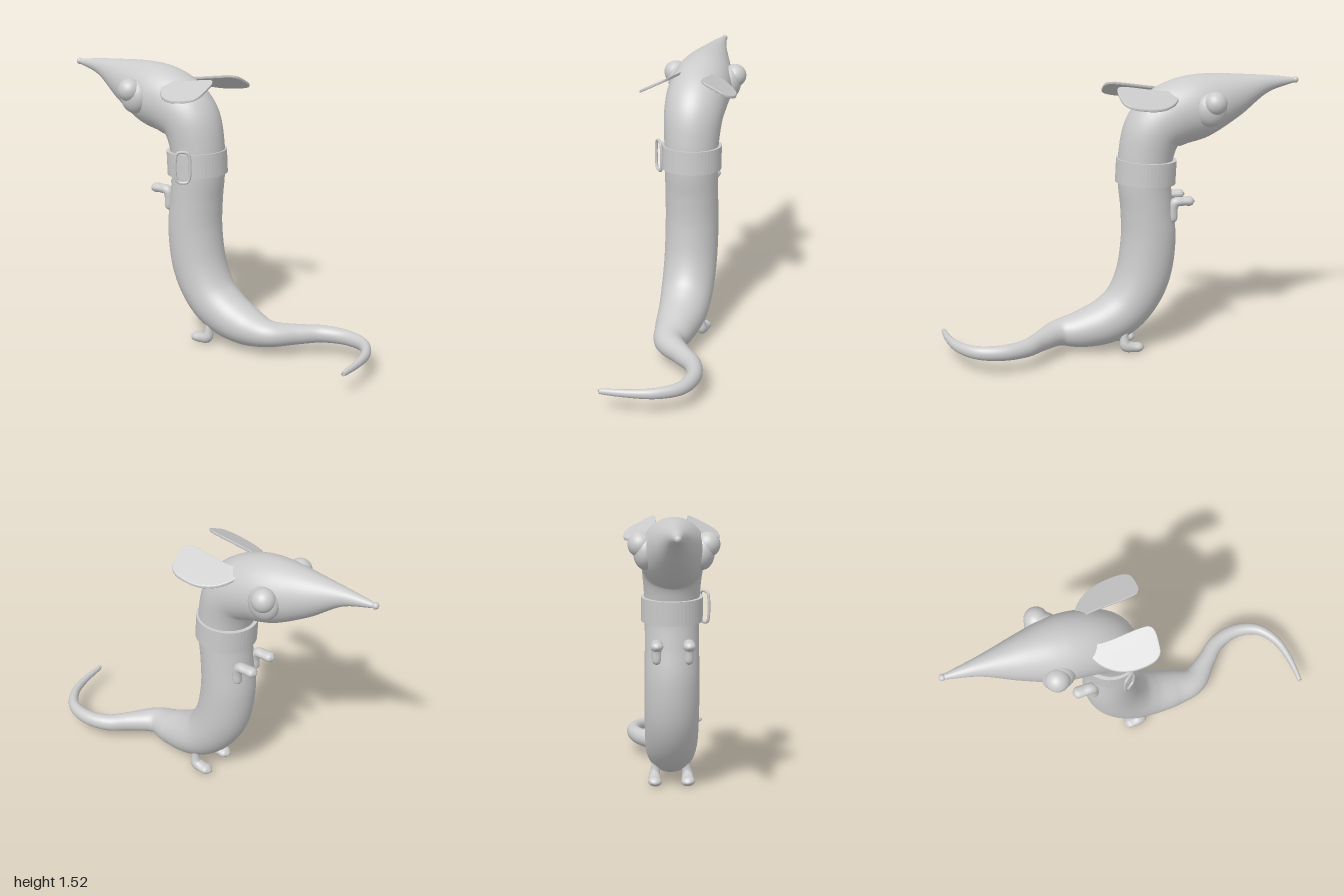
import * as THREE from 'three';

const material = new THREE.MeshStandardMaterial({ color: 0xcccccc });

function add(parent, name, geometry, position = [0, 0, 0]) {
  const mesh = new THREE.Mesh(geometry, material);
  mesh.name = name;
  mesh.position.set(...position);
  parent.add(mesh);
  return mesh;
}

// Sweeps an ellipse along sections [x, y, z, halfHeight, halfWidth], closed at both ends.
function loft(sections, steps, sides) {
  const path = new THREE.CatmullRomCurve3(
    sections.map(([x, y, z]) => new THREE.Vector3(x, y, z)), false, 'catmullrom', 0.5);
  const sizes = new THREE.CatmullRomCurve3(
    sections.map((s) => new THREE.Vector3(s[3], s[4], 0)), false, 'catmullrom', 0.5);
  const positions = [], index = [];
  const side = new THREE.Vector3(0, 0, 1);
  for (let i = 0; i <= steps; i++) {
    const t = i / steps;
    const c = path.getPoint(t), tangent = path.getTangent(t), size = sizes.getPoint(t);
    side.addScaledVector(tangent, -side.dot(tangent)).normalize();
    const up = new THREE.Vector3().crossVectors(side, tangent);
    for (let j = 0; j < sides; j++) {
      const a = (j / sides) * Math.PI * 2;
      const p = c.clone()
        .addScaledVector(side, Math.cos(a) * size.y)
        .addScaledVector(up, Math.sin(a) * size.x);
      positions.push(p.x, p.y, p.z);
      if (i < steps) {
        const k = (j + 1) % sides, n = i * sides;
        index.push(n + j, n + sides + j, n + k, n + k, n + sides + j, n + sides + k);
      }
    }
  }
  // End caps
  const first = sections[0], last = sections[sections.length - 1];
  const centre = positions.length / 3;
  positions.push(...first.slice(0, 3), ...last.slice(0, 3));
  for (let j = 0; j < sides; j++) {
    const k = (j + 1) % sides, n = steps * sides;
    index.push(centre, j, k, centre + 1, n + k, n + j);
  }
  const geometry = new THREE.BufferGeometry();
  geometry.setAttribute('position', new THREE.Float32BufferAttribute(positions, 3));
  geometry.setIndex(index);
  geometry.computeVertexNormals();
  return geometry;
}

// Rounded ear leaf, flat in x and z, then sloped down towards the outside.
function earGeometry(side) {
  const s = new THREE.Shape();
  s.moveTo(-0.27, 0.1);
  s.bezierCurveTo(-0.25, 0.17, -0.17, 0.25, -0.05, 0.252);
  s.bezierCurveTo(0.03, 0.255, 0.07, 0.24, 0.07, 0.19);
  s.bezierCurveTo(0.075, 0.13, 0.08, 0.09, 0.02, 0.09);
  s.bezierCurveTo(-0.06, 0.085, -0.15, 0.1, -0.22, 0.085);
  s.quadraticCurveTo(-0.26, 0.08, -0.27, 0.1);
  const g = new THREE.ExtrudeGeometry(s, {
    depth: 0.008, curveSegments: 14, bevelEnabled: true,
    bevelThickness: 0.004, bevelSize: 0.004, bevelSegments: 2,
  });
  const p = g.attributes.position;
  for (let i = 0; i < p.count; i++) {
    const x = p.getX(i), w = p.getY(i), d = (p.getZ(i) - 0.004) * -side;
    p.setXYZ(i, x, 1.475 + d - 0.5 * (w - 0.09) + 0.15 * x, w * side);
  }
  g.computeVertexNormals();
  return g;
}

export function createModel() {
  const group = new THREE.Group();
  group.name = 'animal';

  // Snout, head, upright trunk and curled tail as one continuous skin
  add(group, 'body', loft([
    [-0.985, 1.468, 0, 0.012, 0.012],
    [-0.8, 1.452, 0, 0.052, 0.05],
    [-0.6, 1.397, 0, 0.128, 0.115],
    [-0.42, 1.35, 0, 0.175, 0.165],
    [-0.27, 1.31, 0, 0.176, 0.17],
    [-0.165, 1.235, 0, 0.162, 0.162],
    [-0.12, 1.1, 0, 0.15, 0.15],
    [-0.112, 0.95, 0, 0.145, 0.146],
    [-0.125, 0.8, 0, 0.144, 0.146],
    [-0.135, 0.62, 0, 0.152, 0.148],
    [-0.105, 0.42, 0, 0.152, 0.148],
    [-0.025, 0.265, 0, 0.141, 0.145],
    [0.09, 0.175, 0, 0.13, 0.135],
    [0.24, 0.13, 0.008, 0.105, 0.112],
    [0.38, 0.12, 0.005, 0.072, 0.08],
    [0.5, 0.117, -0.09, 0.056, 0.054],
    [0.6, 0.117, -0.175, 0.048, 0.046],
    [0.73, 0.118, -0.209, 0.042, 0.039],
    [0.86, 0.12, -0.175, 0.036, 0.032],
    [0.943, 0.122, -0.07, 0.029, 0.025],
    [0.975, 0.122, 0.06, 0.022, 0.019],
    [0.983, 0.12, 0.2, 0.015, 0.013],
    [0.983, 0.12, 0.215, 0.006, 0.006],
  ], 176, 40));
  add(group, 'noseTip', new THREE.SphereGeometry(0.018, 16, 12), [-0.982, 1.468, 0]);

  // Collar band, slightly tilted
  const band = [[0.145, -0.065], [0.165, -0.065], [0.165, 0.065], [0.145, 0.065], [0.145, -0.065]]
    .map(([r, y]) => new THREE.Vector2(r, y));
  const flatBand = new THREE.LatheGeometry(band, 48).toNonIndexed();
  flatBand.computeVertexNormals();
  const collar = add(group, 'collar', flatBand, [-0.12, 1.01, 0]);
  collar.rotation.z = 0.05;

  // Wire loop hanging on the collar
  const loopPoints = [
    [-0.5, -0.055], [-0.35, -0.08], [0.35, -0.08], [0.5, -0.055],
    [0.5, 0.055], [0.35, 0.08], [-0.35, 0.08], [-0.5, 0.055],
  ].map(([u, y]) => new THREE.Vector3(-0.08 - u * 0.06, 1.012 + y, 0.175 + u * 0.042));
  const loop = new THREE.CatmullRomCurve3(loopPoints, true);
  add(group, 'collarLoop', new THREE.TubeGeometry(loop, 64, 0.008, 8, true));

  for (const side of [1, -1]) {
    const label = side > 0 ? 'left' : 'right';

    // Eye: bulging lid with the eyeball set into it
    const lid = add(group, label + 'EyeLid', new THREE.SphereGeometry(0.086, 32, 20),
      [-0.44, 1.35, 0.145 * side]);
    lid.scale.set(1, 1.08, 0.72);
    add(group, label + 'Eyeball', new THREE.SphereGeometry(0.064, 28, 18),
      [-0.453, 1.387, 0.17 * side]);

    add(group, label + 'Ear', earGeometry(side));

    // Short arm with the paw pointing forward along the snout
    const za = 0.085 * side;
    add(group, label + 'Arm', loft([
      [-0.25, 0.728, za, 0.006, 0.006],
      [-0.25, 0.745, za, 0.023, 0.024],
      [-0.25, 0.8, za, 0.025, 0.026],
      [-0.262, 0.838, za, 0.027, 0.03],
      [-0.305, 0.842, za, 0.024, 0.032],
      [-0.35, 0.841, za, 0.025, 0.032],
      [-0.37, 0.84, za, 0.006, 0.008],
    ], 36, 16));

    // Stubby leg ending in a flat foot
    const zl = 0.092 * side;
    add(group, label + 'Leg', loft([
      [0.025, 0.14, zl * 0.85, 0.022, 0.024],
      [0.027, 0.08, zl * 0.95, 0.024, 0.026],
      [0.018, 0.042, zl, 0.034, 0.032],
      [-0.02, 0.029, zl, 0.028, 0.036],
      [-0.06, 0.026, zl, 0.025, 0.037],
      [-0.084, 0.024, zl, 0.006, 0.012],
    ], 36, 16));
  }
  return group;
}
